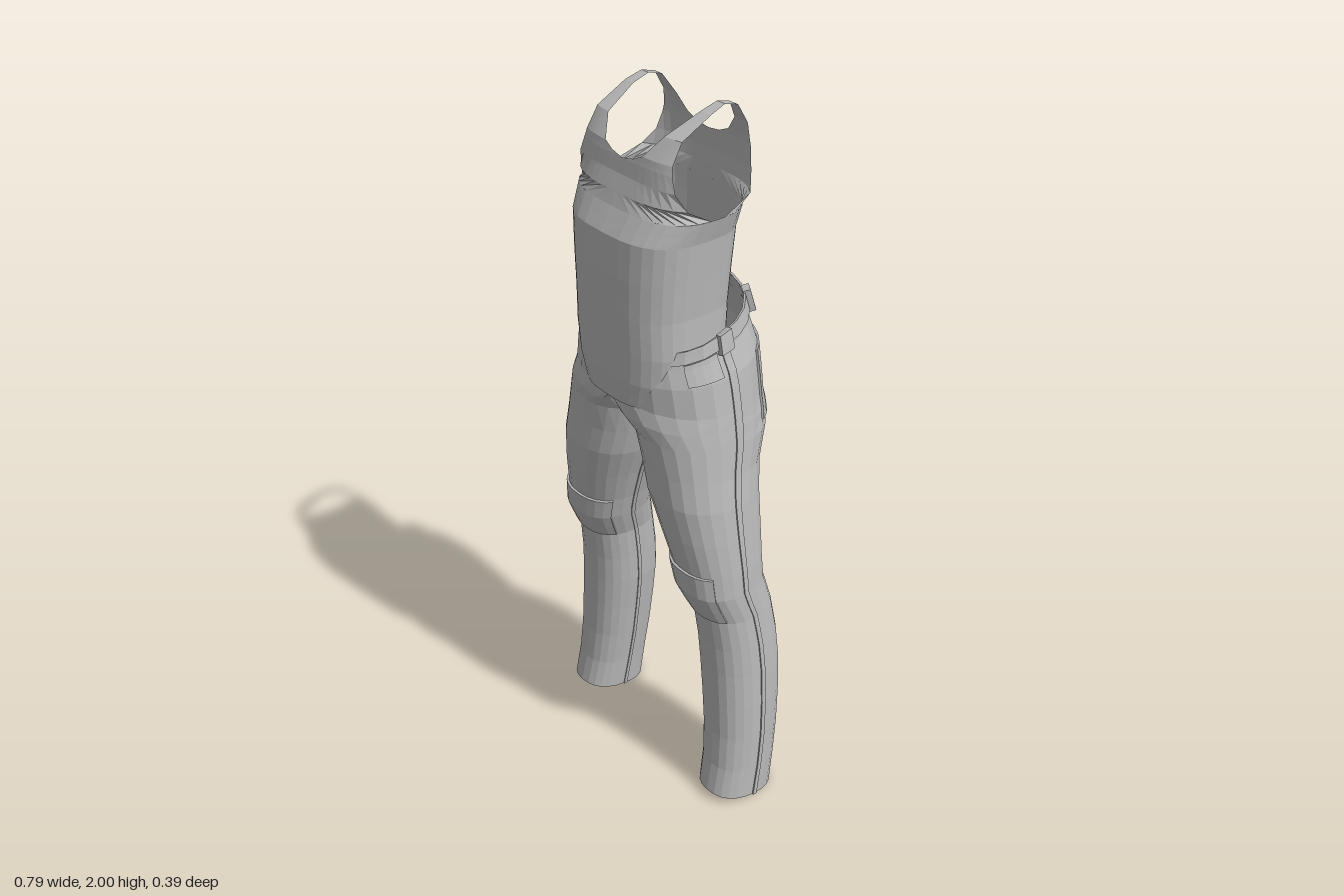
import * as THREE from 'three';

const grey = new THREE.MeshStandardMaterial({ color: 0xb8b8b8, flatShading: true, side: THREE.DoubleSide });
grey.name = 'grey cloth';

// Cross-sections: [front y, back y, apex x, outer x, inner x, front z, back z]
const trouserRows = [
  [1.40, 1.515, 0, 0.225, 0, 0.165, -0.155],
  [1.36, 1.46, 0, 0.235, 0, 0.178, -0.172],
  [1.32, 1.38, 0, 0.26, 0, 0.183, -0.192],
  [1.25, 1.26, 0, 0.278, 0, 0.18, -0.192],
  [1.21, 1.21, 0.06, 0.286, 0, 0.18, -0.19],
  [1.165, 1.165, 0.13, 0.293, 0, 0.165, -0.172],
  [1.08, 1.08, 0.16, 0.305, 0.022, 0.16, -0.135],
  [1.0, 1.0, 0.182, 0.32, 0.045, 0.16, -0.12],
  [0.9, 0.9, 0.21, 0.333, 0.085, 0.146, -0.112],
  [0.8, 0.8, 0.233, 0.345, 0.12, 0.128, -0.105],
  [0.73, 0.73, 0.245, 0.35, 0.14, 0.122, -0.107],
  [0.64, 0.64, 0.26, 0.355, 0.165, 0.08, -0.13],
  [0.54, 0.54, 0.267, 0.365, 0.171, 0.068, -0.146],
  [0.45, 0.45, 0.274, 0.372, 0.176, 0.063, -0.153],
  [0.34, 0.34, 0.283, 0.38, 0.188, 0.062, -0.15],
  [0.23, 0.23, 0.292, 0.385, 0.2, 0.063, -0.143],
  [0.12, 0.12, 0.3, 0.388, 0.212, 0.072, -0.132],
  [0.03, 0.0, 0.305, 0.39, 0.22, 0.09, -0.12],
];
const torsoRows = [
  [1.757, 0.22, 0.165, -0.127],
  [1.70, 0.205, 0.197, -0.125],
  [1.6, 0.198, 0.2, -0.118],
  [1.5, 0.192, 0.2, -0.112],
  [1.4, 0.195, 0.197, -0.105],
  [1.32, 0.185, 0.195, -0.10],
  [1.25, 0.155, 0.19, -0.09],
].map(([y, w, f, b]) => [y, y, 0, w, 0, f, b]);

// Upper vest from chest over the shoulder to the back:
// [y, z at inner edge, inner x, outer x, z at outer edge]
const strapRows = [
  [1.79, 0.152, 0, 0.207, 0.10],
  [1.83, 0.137, 0, 0.183, 0.118],
  [1.868, 0.13, 0, 0.168, 0.115],
  [1.876, 0.128, 0.04, 0.166, 0.113],
  [1.89, 0.125, 0.07, 0.163, 0.11],
  [1.94, 0.09, 0.106, 0.16, 0.08],
  [1.985, 0, 0.125, 0.16, -0.005],
  [2.0, -0.05, 0.127, 0.155, -0.05],
  [1.99, -0.09, 0.125, 0.155, -0.09],
  [1.94, -0.122, 0.108, 0.157, -0.12],
  [1.90, -0.132, 0.075, 0.16, -0.125],
  [1.885, -0.134, 0.04, 0.164, -0.125],
  [1.88, -0.134, 0, 0.165, -0.125],
  [1.83, -0.135, 0, 0.18, -0.115],
  [1.79, -0.13, 0, 0.207, -0.09],
];

// Point on a lofted surface; u runs front, outside, back, inside; v counts rows
function loft(rows, power) {
  return (u, v) => {
    u = u < 0 ? u + 1 : u;
    const i = Math.max(0, Math.min(rows.length - 2, Math.floor(v)));
    const [yF, yB, cx, out, inn, zF, zB] = rows[i].map((a, k) => a + (rows[i + 1][k] - a) * (v - i));
    const round = (n) => Math.sign(n) * Math.pow(Math.abs(n), power);
    const s = round(Math.sin(u * Math.PI * 2));
    const c = round(Math.cos(u * Math.PI * 2));
    const x = cx + s * (s > 0 ? out - cx : cx - inn);
    return new THREE.Vector3(x, (yF + yB) / 2 + c * (yF - yB) / 2, (zF + zB) / 2 + c * (zF - zB) / 2);
  };
}
const trouser = loft(trouserRows, 0.85);
const torso = loft(torsoRows, 0.7);

// Sheet of nu by nv cells from a rule giving the point at cell corner (i, j)
function sheet(name, rule, nu, nv, side) {
  const pos = [], index = [];
  for (let j = 0; j <= nv; j++) {
    for (let i = 0; i <= nu; i++) {
      const p = rule(i, j);
      pos.push(p.x * side, p.y, p.z);
      if (i === nu || j === nv) continue;
      const a = j * (nu + 1) + i, b = a + nu + 1;
      if (side > 0) index.push(a, b, a + 1, a + 1, b, b + 1);
      else index.push(a, a + 1, b, a + 1, b + 1, b);
    }
  }
  const g = new THREE.BufferGeometry();
  g.setAttribute('position', new THREE.Float32BufferAttribute(pos, 3));
  g.setIndex(index);
  g.computeVertexNormals();
  const mesh = new THREE.Mesh(g, grey);
  mesh.name = name;
  return mesh;
}

// Raised cloth piece lying on the trousers, with its rim turned down
function patch(name, u0, u1, v0, v1, lift, side, nu = 6, nv = 6) {
  return sheet(name, (i, j) => {
    const rim = i === 0 || j === 0 || i === nu || j === nv;
    const at = (k, n) => Math.min(Math.max(k - 1, 0), n - 2) / (n - 2);
    const u = u0 + (u1 - u0) * at(i, nu), v = v0 + (v1 - v0) * at(j, nv);
    const p = trouser(u, v), e = 0.004;
    const du = trouser(u + e, v).sub(trouser(u - e, v));
    const dv = trouser(u, v + e).sub(trouser(u, v - e));
    return p.addScaledVector(dv.cross(du).normalize(), rim ? 0 : lift);
  }, nu, nv, side);
}

function vestHalf(side) {
  const g = new THREE.Group();
  g.name = 'vestHalf';
  g.add(sheet('vestBody', (i, j) => torso(i / 32, j / 2), 16, 12, side));
  const n = 8, last = strapRows.length + 1;
  g.add(sheet('vestStrap', (i, j) => {
    const t = i / n;
    if (j === 0) return torso(0.24 * t, 0);
    if (j === last) return torso(0.5 - 0.24 * t, 0);
    const [y, z, xi, xo, zo] = strapRows[j - 1];
    const x = xi + (xo - xi) * t;
    return new THREE.Vector3(x, y, z + (zo - z) * Math.pow(x / xo, 4));
  }, n, last, side));
  return g;
}

function trouserHalf(side) {
  const g = new THREE.Group();
  g.name = 'trouserHalf';
  const rows = trouserRows.length - 1;
  // Hip and outer leg, then the inner leg below the crotch
  g.add(sheet('outerLeg', (i, j) => trouser(i / 24, j), 12, rows, side));
  g.add(sheet('innerLeg', (i, j) => trouser(0.5 + i / 24, j + 3), 12, rows - 3, side));
  // Waistband and belt loops
  g.add(patch('waistband', 0.08, 0.495, 0, 0.75, 0.006, side, 12, 4));
  for (const u of [0.25, 0.39, 0.49]) {
    g.add(patch('beltLoop', u - 0.011, u + 0.011, -0.1, 1, 0.02, side, 4, 4));
  }
  // Seams, pockets and knee panel
  g.add(patch('sideSeam', 0.245, 0.257, 0.8, rows, 0.004, side, 4, rows * 2));
  g.add(patch('innerSeam', 0.745, 0.755, 6, rows, 0.003, side, 4, rows * 2));
  g.add(patch('backPocket', 0.33, 0.44, 1.9, 4.4, 0.006, side));
  g.add(patch('frontPocket', 0.16, 0.235, 0.8, 1.9, 0.004, side));
  g.add(patch('kneePanel', -0.16, 0.13, 9, 10.9, 0.007, side, 10, 6));
  return g;
}

export function createModel() {
  const model = new THREE.Group();
  model.name = 'vestAndTrousers';
  for (const side of [1, -1]) model.add(vestHalf(side), trouserHalf(side));
  return model;
}
